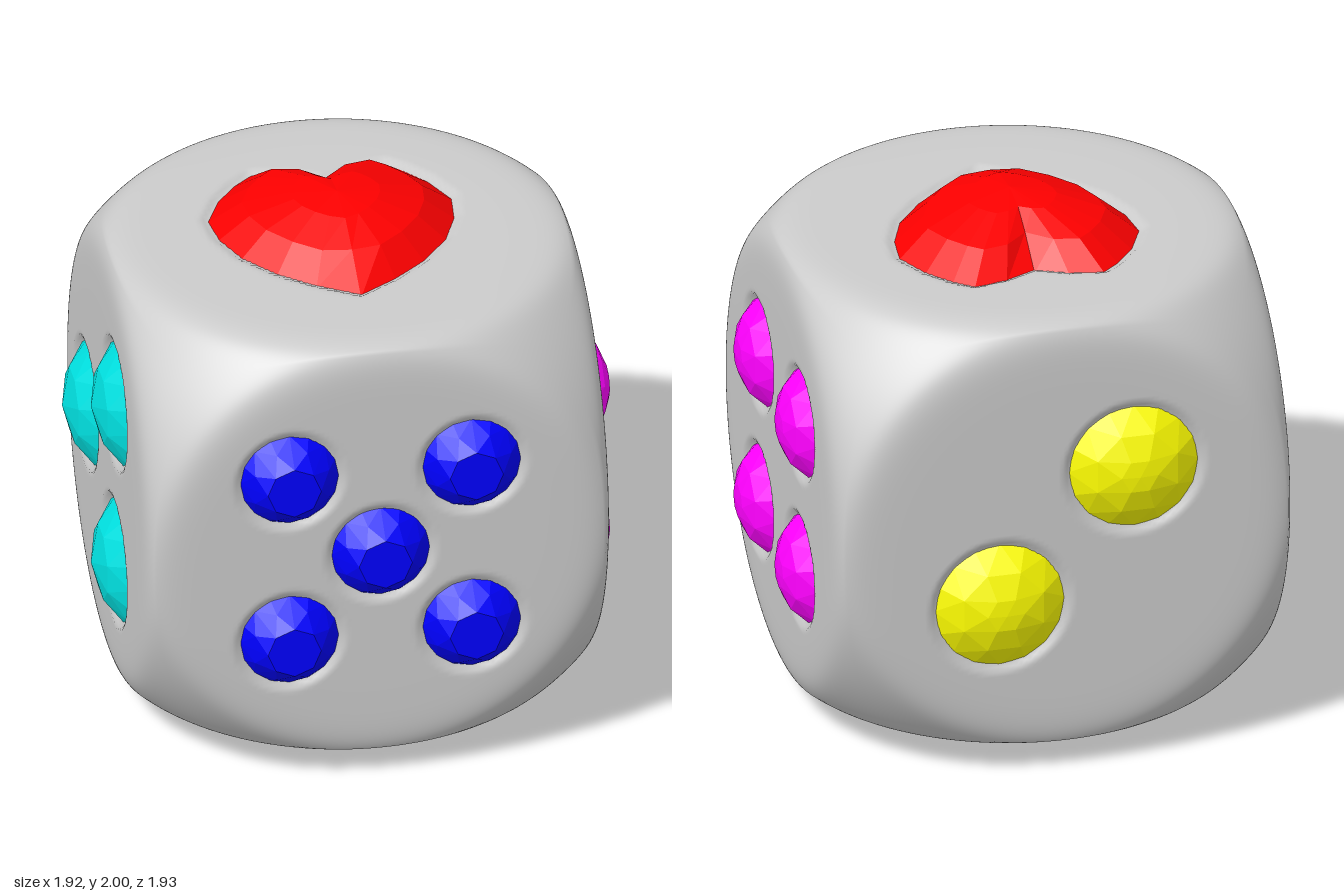
import * as THREE from 'three';
import { mergeVertices } from 'three/addons/utils/BufferGeometryUtils.js';
import { ConvexGeometry } from 'three/addons/geometries/ConvexGeometry.js';

const HALF = 0.877, SPHERE = 1.212, CENTER = 0.967, SINK = 0.022;
const Q = Math.PI / 2;

// Heart outline (x, z) from the notch round the right side to the tip, then mirrored
const heartHalf = [[0, -0.39], [0.12, -0.445], [0.25, -0.47], [0.32, -0.41], [0.4, -0.31], [0.465, -0.17],
  [0.45, -0.03], [0.39, 0.12], [0.28, 0.26], [0.15, 0.37], [0, 0.465]];
const heart = [...heartHalf, ...heartHalf.slice(1, -1).reverse().map(([x, z]) => [-x, z])];

// Each face: rotation of its local +y to the outside, gem centres (local x, z),
// and gem rings as [radius, height above face, sides, half-step turn]
const pentagon = [0, 1, 2, 3, 4].map(i => {
  const a = (7.5 + 72 * i) * Math.PI / 180;
  return [0.48 * Math.cos(a), -0.48 * Math.sin(a)];
});
const faces = [
  { name: 'front', color: 0x0000ff, rot: [Q, 0, 0],
    spots: [[-0.342, -0.342], [0.342, -0.342], [-0.342, 0.342], [0.342, 0.342], [0, 0]],
    rings: [[0.187, -SINK, 16, 0], [0.15, 0.035, 8, 1], [0.1, 0.086, 8, 0]] },
  { name: 'right', color: 0xff00ff, rot: [0, 0, -Q],
    spots: [[-0.3, -0.3], [0.3, -0.3], [-0.3, 0.3], [0.3, 0.3]],
    rings: [[0.207, -SINK, 16, 0], [0.145, 0.045, 8, 1], [0.065, 0.076, 8, 0], [0, 0.083, 1, 0]] },
  { name: 'left', color: 0x00e0e0, rot: [0, 0, Q],
    spots: [[0, -0.39], [0.335, 0.19], [-0.335, 0.19]],
    rings: [[0.238, -SINK, 16, 0], [0.145, 0.05, 8, 1], [0, 0.087, 1, 0]] },
  { name: 'back', color: 0xffff00, rot: [-Q, 0, 0],
    spots: [[-0.255, 0.255], [0.255, -0.255]],
    rings: [[0.25, -SINK, 16, 0], [0.165, 0.045, 8, 1], [0.07, 0.08, 6, 0], [0, 0.086, 1, 0]] },
  { name: 'bottom', color: 0x00cc00, rot: [Math.PI, 0, 0],
    spots: [[0, 0], ...pentagon],
    rings: [[0.187, -SINK, 12, 0], [0.11, 0.045, 6, 1], [0, 0.09, 1, 0]] },
  { name: 'top', color: 0xff0000, rot: [0, 0, 0], heart: true },
];
for (const f of faces) f.quat = new THREE.Quaternion().setFromEuler(new THREE.Euler(...f.rot));

// Distance outside the heart outline (0 inside)
function heartDistance(x, z) {
  let inside = false, best = Infinity;
  heart.forEach(([ax, az], i) => {
    const [bx, bz] = heart[(i + 1) % heart.length];
    if ((az > z) !== (bz > z) && x < ax + (bx - ax) * (z - az) / (bz - az)) inside = !inside;
    const dx = bx - ax, dz = bz - az;
    const t = THREE.MathUtils.clamp(((x - ax) * dx + (z - az) * dz) / (dx * dx + dz * dz), 0, 1);
    best = Math.min(best, Math.hypot(x - ax - t * dx, z - az - t * dz));
  });
  return inside ? 0 : best;
}

// Cube softly trimmed by a sphere, with a narrow shallow socket under every gem
function bodyGeometry() {
  let g = new THREE.BoxGeometry(2 * HALF, 2 * HALF, 2 * HALF, 100, 100, 100);
  g.deleteAttribute('normal');
  g.deleteAttribute('uv');
  g = mergeVertices(g, 1e-4);
  const pos = g.attributes.position, p = new THREE.Vector3(), K = 40;
  for (let i = 0; i < pos.count; i++) {
    p.fromBufferAttribute(pos, i);
    const len = p.length();
    p.multiplyScalar(Math.pow(1 + Math.pow(len / SPHERE, K), -1 / K));
    for (const f of faces) {
      const q = p.clone().applyQuaternion(f.quat.clone().invert());
      if (q.y < 0.8) continue;
      const d = f.heart ? heartDistance(q.x, q.z)
        : Math.min(...f.spots.map(([u, v]) => Math.hypot(q.x - u, q.z - v))) - f.rings[0][0];
      q.y -= SINK * (1 - THREE.MathUtils.smoothstep(d, -0.015, 0.025));
      p.copy(q.applyQuaternion(f.quat));
    }
    pos.setXYZ(i, p.x, p.y, p.z);
  }
  g.computeVertexNormals();
  return g;
}

// Faceted round gem: hull of a few rings plus a hidden base
function gemGeometry(rings) {
  const pts = [];
  const [r0, h0, n0] = rings[0];
  for (const [r, h, n, turn] of [...rings, [r0 * 0.8, h0 - 0.04, n0, 0]]) {
    for (let i = 0; i < n; i++) {
      const a = (i + turn * 0.5) / n * 2 * Math.PI;
      pts.push(new THREE.Vector3(r * Math.cos(a), h, r * Math.sin(a)));
    }
  }
  return new ConvexGeometry(pts);
}

// Faceted heart: the outline shrunk towards its middle in steps, closed by a peak
function heartGeometry() {
  const zc = -0.02, n = heart.length, pos = [], idx = [];
  // [scale, height, scale on the centre line]
  const steps = [[0.92, -0.07, 0.92], [1, -SINK, 1], [0.73, 0.078, 0.62], [0.36, 0.135, 0.34], [0, 0.156, 0]];
  for (const [side, h, mid] of steps) {
    for (const [x, z] of heart) {
      const s = x === 0 ? mid : side;
      pos.push(x * s, h, zc + (z - zc) * s);
    }
  }
  for (let k = 0; k < steps.length - 1; k++) {
    for (let i = 0; i < n; i++) {
      const j = (i + 1) % n, a = k * n, b = a + n;
      idx.push(a + j, a + i, b + i);
      if (k < steps.length - 2) idx.push(a + j, b + i, b + j);
    }
  }
  const g = new THREE.BufferGeometry();
  g.setAttribute('position', new THREE.Float32BufferAttribute(pos, 3));
  g.setIndex(idx);
  const flat = g.toNonIndexed();
  flat.computeVertexNormals();
  return flat;
}

export function createModel() {
  const model = new THREE.Group();
  model.name = 'die';

  const body = new THREE.Mesh(bodyGeometry(), new THREE.MeshStandardMaterial({ color: 0xcccccc }));
  body.name = 'body';
  body.position.y = CENTER;
  model.add(body);

  // Gems on every face
  for (const f of faces) {
    const face = new THREE.Group();
    face.name = f.name + 'Gems';
    face.position.y = CENTER;
    face.quaternion.copy(f.quat);
    const material = new THREE.MeshStandardMaterial({ color: f.color, flatShading: true });
    const geometry = f.heart ? heartGeometry() : gemGeometry(f.rings);
    for (const [u, v] of f.spots ?? [[0, 0]]) {
      const gem = new THREE.Mesh(geometry, material);
      gem.name = f.heart ? 'heartGem' : f.name + 'Gem';
      gem.position.set(u, HALF, v);
      face.add(gem);
    }
    model.add(face);
  }
  return model;
}
